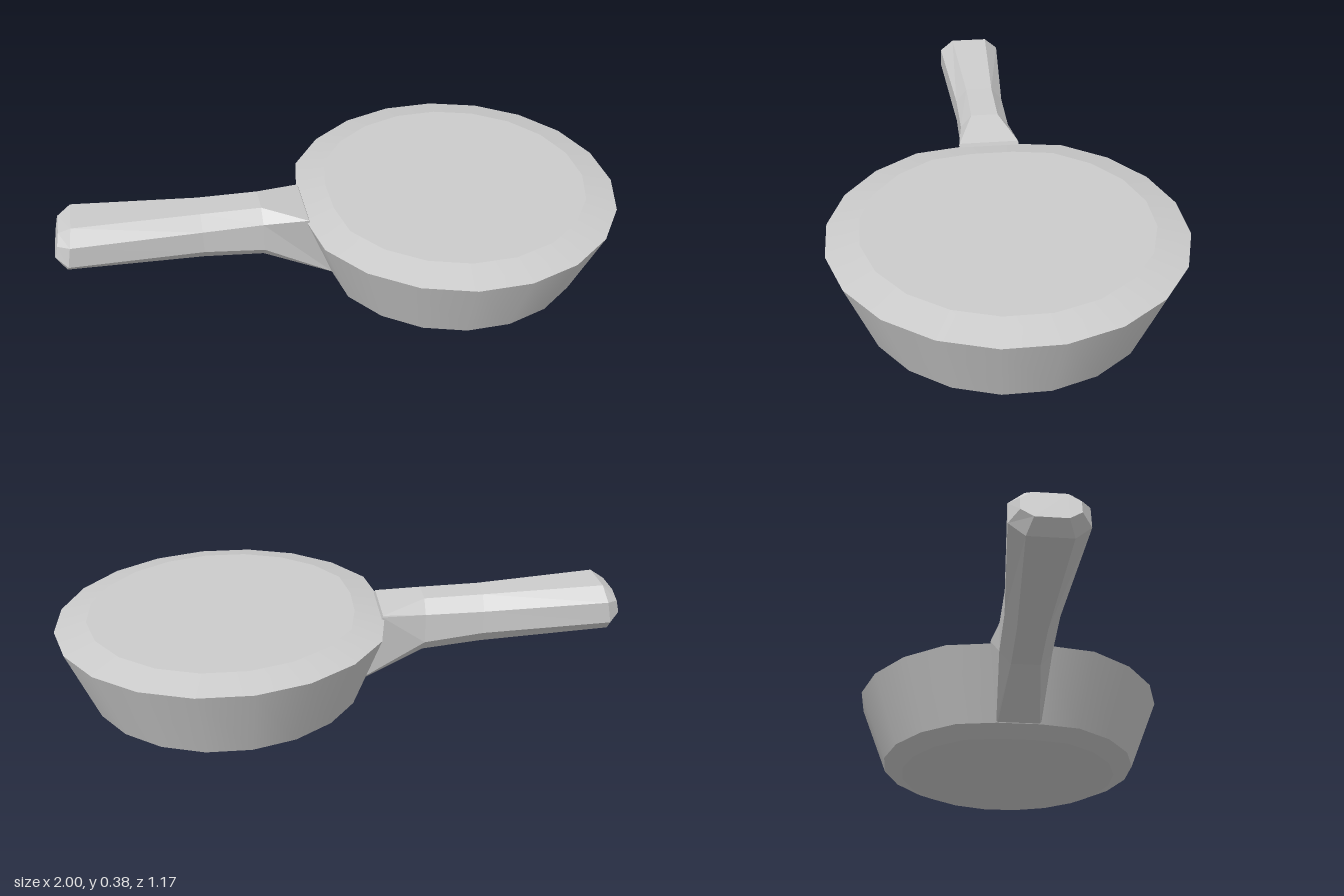
import * as THREE from 'three';
import { mergeGeometries } from 'three/addons/utils/BufferGeometryUtils.js';

const PAN_X = 0.415;

// Twenty-sided pan: smooth around, creased between bands, flattened at the handle
function panGeometry() {
  const profile = [[0, 0], [0.415, 0], [0.487, 0.033], [0.59, 0.297], [0.48, 0.323], [0, 0.323]]
    .map(([r, y]) => new THREE.Vector2(r, y));
  const bands = [];
  for (let i = 0; i < profile.length - 1; i++) {
    const band = new THREE.LatheGeometry([profile[i], profile[i + 1]], 20, Math.PI / 20);
    const p = band.attributes.position;
    for (let v = 0; v < p.count; v++) {
      const r = Math.hypot(p.getX(v), p.getZ(v));
      p.setX(v, Math.max(p.getX(v), -0.945 * r));
    }
    bands.push(band);
  }
  return mergeGeometries(bands);
}

// Chamfered octagon between a top and a bottom point; c is the chamfer fraction
function section({ top, bottom, wTop, wBottom, flatTop, flatBottom, c }) {
  const at = (t, z) => [
    THREE.MathUtils.lerp(top[0], bottom[0], t),
    THREE.MathUtils.lerp(top[1], bottom[1], t), z];
  const half = [[0, flatTop], [c, wTop], [1 - c, wBottom], [1, flatBottom]];
  return [...half.map(([t, z]) => at(t, z)), ...half.reverse().map(([t, z]) => at(t, -z))];
}

function handleGeometry() {
  const grip = (top, bottom, w, flat, c = 0.27) =>
    section({ top, bottom, wTop: w, wBottom: w, flatTop: flat, flatBottom: flat, c });
  const rings = [
    grip([-0.975, 0.35], [-1.0, 0.25], 0.088, 0.05),
    grip([-0.93, 0.377], [-0.965, 0.207], 0.12, 0.07),
    grip([-0.5, 0.352], [-0.5, 0.168], 0.09, 0.05),
    grip([-0.29, 0.346], [-0.29, 0.145], 0.09, 0.05, 0.23),
    // root: chamfers run out against the pan wall
    section({ top: [-0.135, 0.313], bottom: [-0.045, 0.035],
      wTop: 0.11, wBottom: 0.08, flatTop: 0.108, flatBottom: 0.075, c: 0.02 }),
  ];
  const n = 8, index = [];
  for (let i = 0; i < rings.length - 1; i++) {
    for (let j = 0; j < n; j++) {
      const a = i * n + j, b = i * n + (j + 1) % n;
      index.push(a, b, b + n, a, b + n, a + n);
    }
  }
  // end caps
  const last = (rings.length - 1) * n;
  for (let j = 1; j < n - 1; j++) {
    index.push(0, j + 1, j);
    index.push(last, last + j, last + j + 1);
  }
  const geo = new THREE.BufferGeometry();
  geo.setAttribute('position', new THREE.Float32BufferAttribute(rings.flat(2), 3));
  geo.setIndex(index);
  const flat = geo.toNonIndexed();
  flat.computeVertexNormals();
  return flat;
}

export function createModel() {
  const group = new THREE.Group();
  group.name = 'fryingPan';

  const pan = new THREE.Mesh(panGeometry(), new THREE.MeshStandardMaterial({ color: 0xcccccc }));
  pan.name = 'pan';
  pan.position.x = PAN_X;

  const handle = new THREE.Mesh(handleGeometry(),
    new THREE.MeshStandardMaterial({ color: 0xcccccc, flatShading: true }));
  handle.name = 'handle';

  group.add(pan, handle);
  return group;
}
